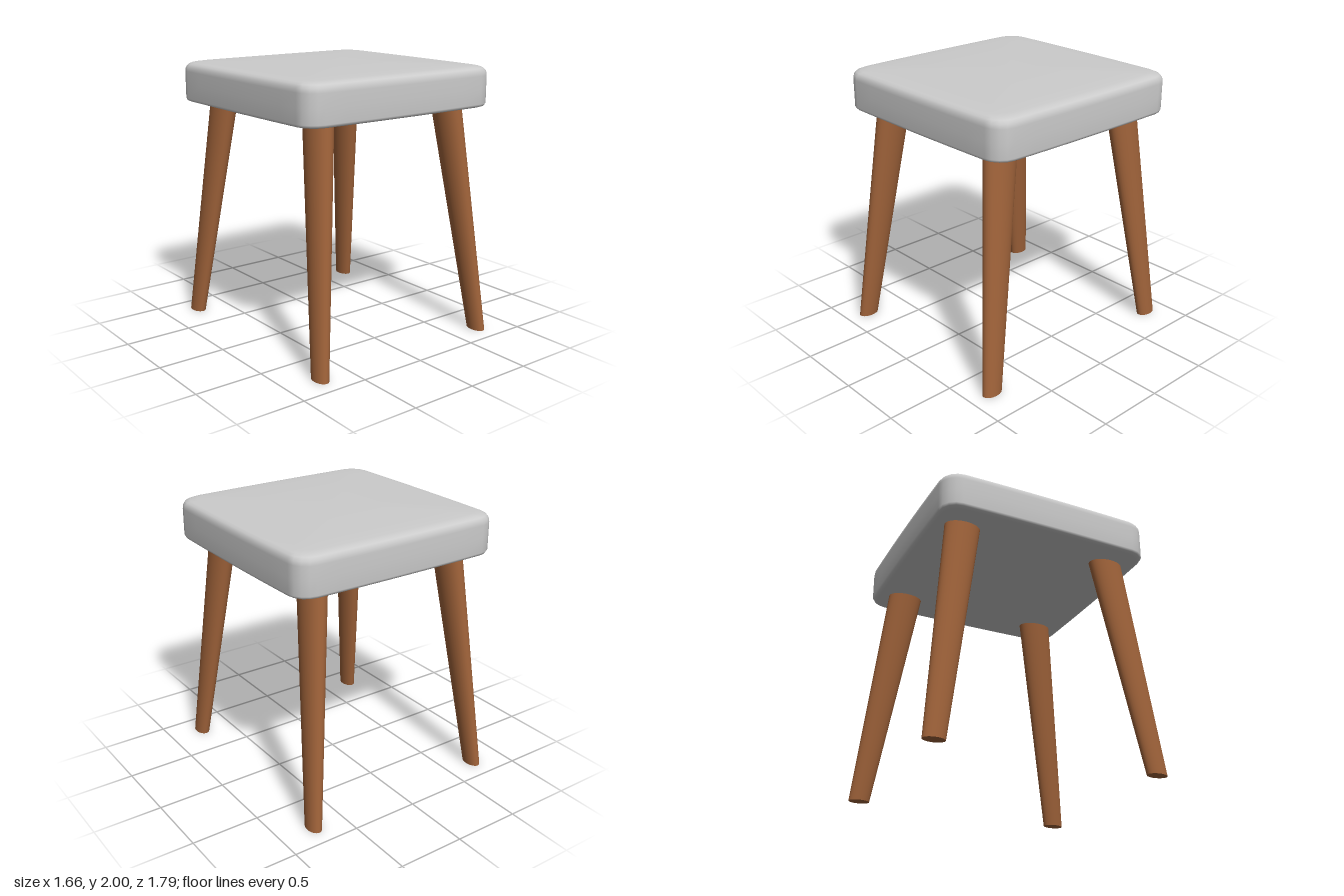
import * as THREE from 'three';

// Rounded square with gently bulging sides, as one closed loop of [x, z]
function seatOutline() {
  const half = 0.82, radius = 0.13, flat = half - radius;
  const arcSteps = 4, sideSteps = 8, points = [];
  for (let k = 0; k < 4; k++) {
    const c = Math.cos(k * Math.PI / 2), s = Math.sin(k * Math.PI / 2);
    const quarter = [];
    for (let i = 0; i < sideSteps; i++) quarter.push([half, -flat + 2 * flat * i / sideSteps]);
    for (let i = 0; i < arcSteps; i++) {
      const a = (i / arcSteps) * Math.PI / 2;
      quarter.push([flat + radius * Math.cos(a), flat + radius * Math.sin(a)]);
    }
    for (const [x, z] of quarter) {
      const bx = x * (1 + 0.014 * (1 - (z / half) ** 2));
      const bz = z * (1 + 0.014 * (1 - (x / half) ** 2));
      points.push([bx * c - bz * s, bx * s + bz * c]);
    }
  }
  return points;
}

// Cushion: the outline scaled and stacked along a [scale, height] profile
function seatGeometry() {
  const profile = [
    [0, 1.676], [0.5, 1.678], [0.88, 1.685], [0.965, 1.69], [0.99, 1.697], [1, 1.715],
    [1, 1.82], [1, 1.915], [0.995, 1.945], [0.978, 1.966], [0.95, 1.977], [0.9, 1.984],
    [0.75, 1.99], [0.5, 1.996], [0.25, 2], [0, 2],
  ];
  const outline = seatOutline(), n = outline.length;
  const positions = [], indices = [];
  for (const [s, y] of profile) for (const [x, z] of outline) positions.push(x * s, y, z * s);
  for (let j = 0; j < profile.length - 1; j++) {
    for (let i = 0; i < n; i++) {
      const a = j * n + i, b = j * n + (i + 1) % n, c = a + n, d = b + n;
      indices.push(a, c, b, b, c, d);
    }
  }
  const geometry = new THREE.BufferGeometry();
  geometry.setAttribute('position', new THREE.Float32BufferAttribute(positions, 3));
  geometry.setIndex(indices);
  geometry.computeVertexNormals();
  return geometry;
}

// Tapered oval leg, sheared outwards so that the foot stays flat on the floor
function legGeometry(sx, sz) {
  const height = 1.72, foot = [0.737, 0.817], top = [0.574, 0.586];
  const geometry = new THREE.CylinderGeometry(0.086, 0.05, height, 32);
  geometry.translate(0, height / 2, 0);
  geometry.scale(1, 1, 1.56);
  geometry.applyMatrix4(new THREE.Matrix4().set(
    1, sx * (top[0] - foot[0]) / height, 0, sx * foot[0],
    0, 1, 0, 0,
    0, sz * (top[1] - foot[1]) / height, 1, sz * foot[1],
    0, 0, 0, 1,
  ));
  return geometry;
}

export function createModel() {
  const group = new THREE.Group();
  group.name = 'stool';
  const fabric = new THREE.MeshStandardMaterial({ color: 0xcccccc });
  const wood = new THREE.MeshStandardMaterial({ color: 0xa0633a });

  const seat = new THREE.Mesh(seatGeometry(), fabric);
  seat.name = 'seat';
  group.add(seat);

  for (const sx of [-1, 1]) {
    for (const sz of [-1, 1]) {
      const leg = new THREE.Mesh(legGeometry(sx, sz), wood);
      leg.name = (sz > 0 ? 'front' : 'back') + (sx > 0 ? 'Left' : 'Right') + 'Leg';
      group.add(leg);
    }
  }
  return group;
}
